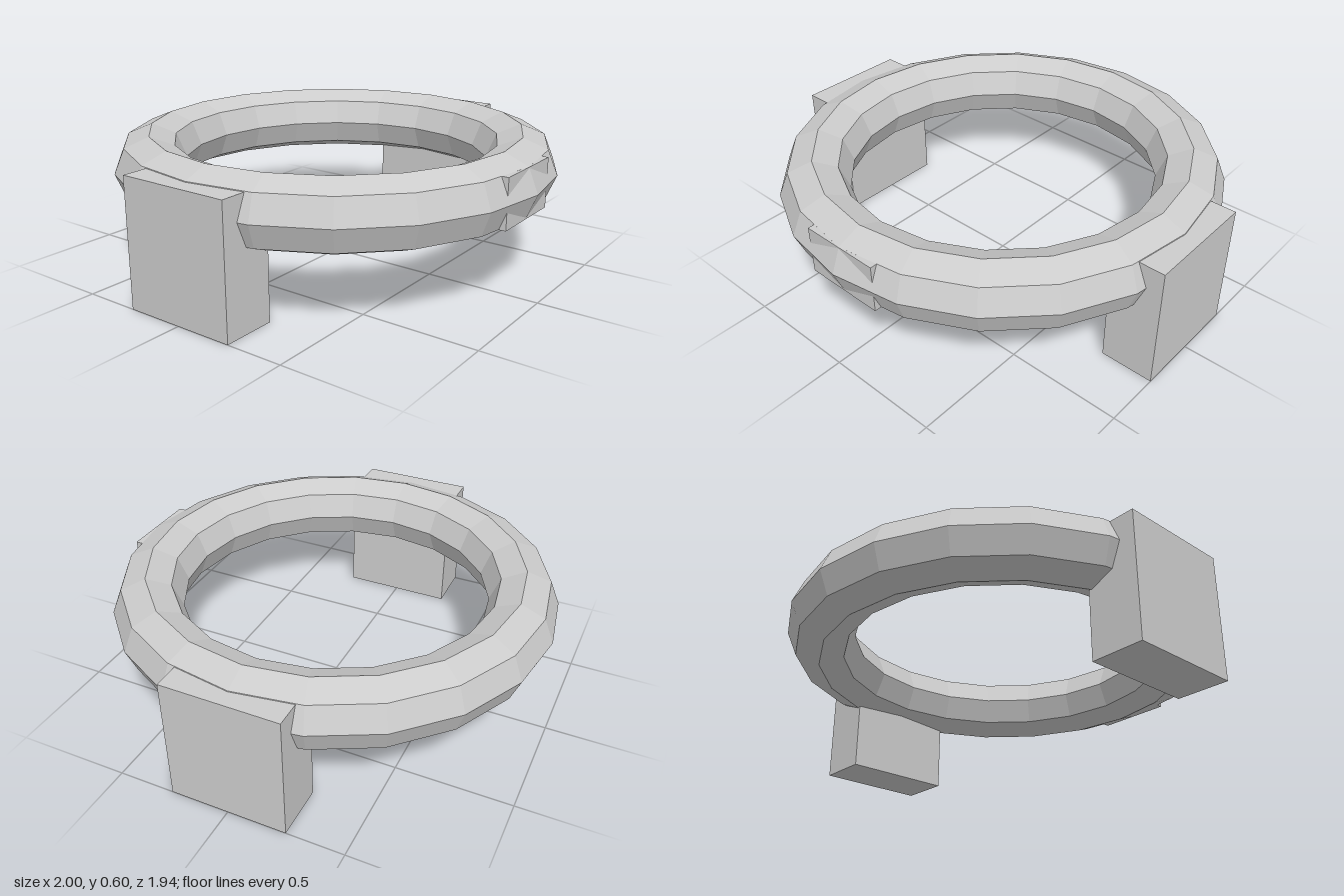
import * as THREE from 'three';

export function createModel() {
  const model = new THREE.Group();
  const gray = new THREE.MeshStandardMaterial({ color: 0xcccccc });
  gray.name = 'light gray';
  gray.flatShading = true;

  const add = (name, geometry, x, y, z) => {
    const mesh = new THREE.Mesh(geometry, gray);
    mesh.name = name;
    mesh.position.set(x, y, z);
    model.add(mesh);
  };

  // Faceted ring: eight-sided section swept in twenty steps, lying flat
  const ringY = 0.447;
  add('ring', new THREE.TorusGeometry(0.82, 0.15, 8, 20).rotateX(-Math.PI / 2), 0, ringY, 0);

  // Side blocks that carry the ring
  for (const [name, side] of [['leftSupport', 1], ['rightSupport', -1]]) {
    add(name, new THREE.BoxGeometry(0.233, 0.55, 0.508), side * 0.8835, 0.275, 0);
  }

  // Small block set into the front of the ring
  add('frontBlock', new THREE.BoxGeometry(0.358, 0.212, 0.15), 0, ringY, 0.853);

  return model;
}
